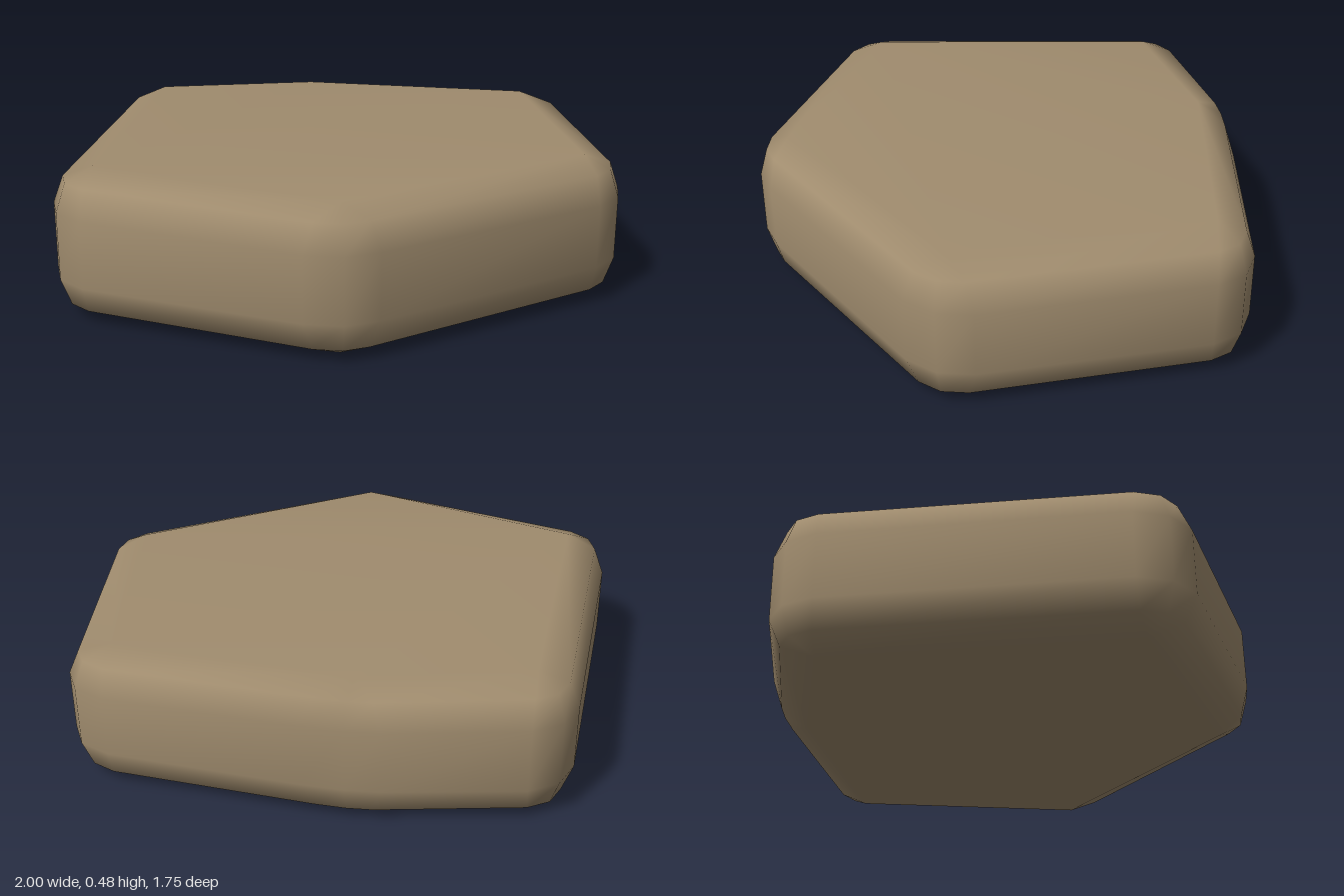
import * as THREE from 'three';

// Each corner: bevel centre [x, z], then its three rim points, going round the slab
const corners = [
  { centre: [-0.87, 0.01], rim: [[-0.975, 0.12], [-1, 0.01], [-0.96, -0.1]] },
  { centre: [-0.225, -0.75], rim: [[-0.34, -0.82], [-0.245, -0.875], [-0.135, -0.865]] },
  { centre: [0.284, -0.52], rim: [[0.27, -0.66], [0.365, -0.597], [0.47, -0.51]] },
  { centre: [0.87, 0.02], rim: [[0.945, -0.075], [1, 0.025], [0.985, 0.13]] },
  { centre: [0.495, 0.745], rim: [[0.64, 0.76], [0.56, 0.84], [0.45, 0.87]] },
  { centre: [-0.42, 0.7], rim: [[-0.36, 0.818], [-0.47, 0.79], [-0.56, 0.71]] },
];

// Bevel steps from underside to top: outward fraction, height, and whether it follows the top
const BEVEL = 0.13;
const levels = [
  { out: 0, y: 0, top: false },
  { out: 0.74, y: 0.04, top: false },
  { out: 1, y: BEVEL, top: false },
  { out: 1, y: -BEVEL, top: true },
  { out: 0.74, y: -0.04, top: true },
  { out: 0, y: 0, top: true },
];

// The top face tilts very slightly
const topHeight = (x, z) => 0.473 - 0.006 * x - 0.006 * z;

function slabGeometry() {
  const positions = [];
  const rings = [];
  for (const { out, y, top } of levels) {
    const ring = [];
    for (const { centre: [cx, cz], rim } of corners) {
      rim.forEach(([rx, rz], k) => {
        // Inner rings keep a single shared vertex per corner
        if (out > 0 || k === 0) {
          const x = cx + (rx - cx) * out;
          const z = cz + (rz - cz) * out;
          positions.push(x, y + (top ? topHeight(cx, cz) : 0), z);
        }
        ring.push(positions.length / 3 - 1);
      });
    }
    rings.push(ring);
  }

  const index = [];
  const triangle = (a, b, c) => {
    if (a !== b && b !== c && c !== a) index.push(a, b, c);
  };
  // Walls and bevels
  const n = rings[0].length;
  for (let r = 0; r < rings.length - 1; r++) {
    const low = rings[r], high = rings[r + 1];
    for (let i = 0; i < n; i++) {
      const j = (i + 1) % n;
      triangle(low[j], low[i], high[i]);
      triangle(low[j], high[i], high[j]);
    }
  }
  // Underside and top
  const bottom = rings[0], top = rings[rings.length - 1];
  for (let i = 1; i < n - 1; i++) {
    triangle(bottom[0], bottom[i], bottom[i + 1]);
    triangle(top[0], top[i + 1], top[i]);
  }

  const geometry = new THREE.BufferGeometry();
  geometry.setAttribute('position', new THREE.Float32BufferAttribute(positions, 3));
  geometry.setIndex(index);
  geometry.computeVertexNormals();
  return geometry;
}

export function createModel() {
  const group = new THREE.Group();
  group.name = 'steppingStone';
  const stone = new THREE.Mesh(
    slabGeometry(),
    new THREE.MeshStandardMaterial({ color: 0xa08c6e })
  );
  stone.name = 'stoneSlab';
  group.add(stone);
  return group;
}
